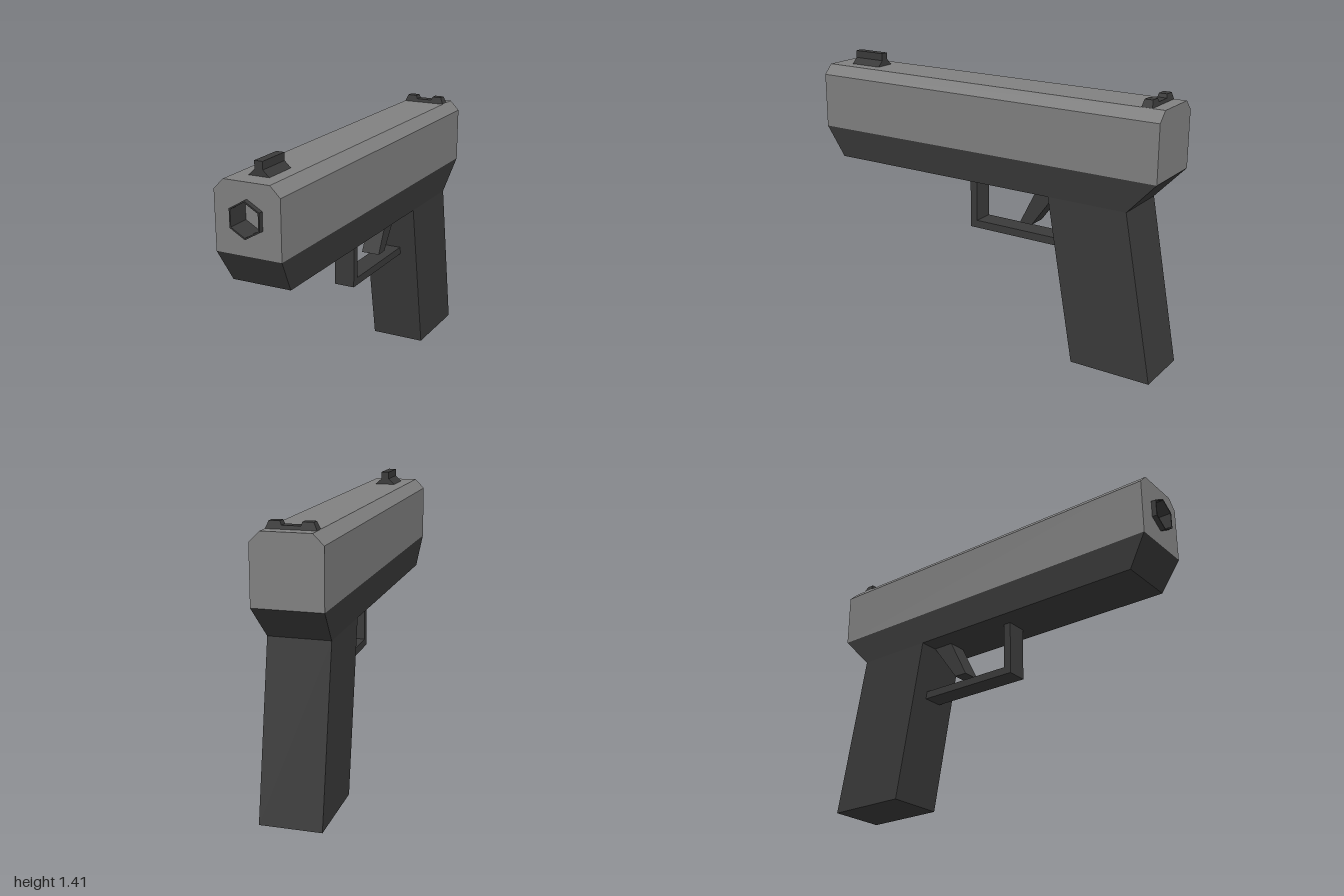
import * as THREE from 'three';

const mat = (color, side = THREE.FrontSide) => new THREE.MeshStandardMaterial({ color, side, flatShading: true });
const grey = mat(0x808080);
const dark = mat(0x3a3a3a);

const toShape = (pts) => new THREE.Shape(pts.map(([a, b]) => new THREE.Vector2(a, b)));
// Mirrors a right-hand outline (bottom to top) to a closed symmetric one
const mirrored = (half) => toShape([...half, ...half.slice().reverse().map(([x, y]) => [-x, y])]);
const hexagon = (r, y) => Array.from({ length: 6 }, (_, i) => {
  const a = Math.PI / 2 + (i * Math.PI) / 3;
  return [r * Math.cos(a), y + r * Math.sin(a)];
});

// Front outline (x, y) extruded from z0 to z1
function alongZ(shape, z0, z1) {
  return new THREE.ExtrudeGeometry(shape, { depth: z1 - z0, bevelEnabled: false }).translate(0, 0, z0);
}
// Side outline (z, y) extruded to the given width, centred on x = 0
function acrossX(pts, width) {
  return new THREE.ExtrudeGeometry(toShape(pts), { depth: width, bevelEnabled: false })
    .translate(0, 0, -width / 2).rotateY(-Math.PI / 2);
}

export function createModel() {
  const group = new THREE.Group();
  const add = (name, geometry, material) => {
    const mesh = new THREE.Mesh(geometry, material);
    mesh.name = name;
    group.add(mesh);
  };

  // Chamfered upper body, with a shallow hexagonal bore in its front section
  const bodyHalf = [[0.167, 1.005], [0.167, 1.29], [0.117, 1.34]];
  const boreY = 1.177, boreEnd = 0.88;
  add('upperBody', alongZ(mirrored(bodyHalf), -0.993, boreEnd), grey);
  const frontShape = mirrored(bodyHalf);
  frontShape.holes.push(toShape(hexagon(0.084, boreY)));
  add('upperBodyFront', alongZ(frontShape, boreEnd, 0.975), grey);

  // Thin hexagonal barrel sleeve
  const barrel = toShape(hexagon(0.088, boreY));
  barrel.holes.push(toShape(hexagon(0.08, boreY)));
  add('barrel', alongZ(barrel, boreEnd + 0.002, 1), dark);

  // Lower frame tapering towards its underside
  const frame = new THREE.BoxGeometry(1, 1, 1);
  const p = frame.attributes.position;
  for (let i = 0; i < p.count; i++) {
    const top = p.getY(i) > 0, front = p.getZ(i) > 0;
    const z = front ? (top ? 0.975 : 0.88) : (top ? -0.993 : -0.84);
    p.setXYZ(i, Math.sign(p.getX(i)) * (top ? 0.167 : 0.15), top ? 1.005 : 0.843, z);
  }
  frame.computeVertexNormals();
  add('frame', frame, dark);

  // Raked grip
  add('grip', acrossX([[-0.57, 0], [-0.42, 0.843], [-0.84, 0.843], [-0.997, 0]], 0.3), dark);

  // Angled guard bar and trigger
  add('triggerGuard', acrossX([[0.1, 0.845], [0.06, 0.845], [0.06, 0.6], [-0.48, 0.6],
    [-0.48, 0.56], [0.1, 0.56]], 0.11), dark);
  add('trigger', acrossX([[-0.2, 0.64], [-0.27, 0.64], [-0.42, 0.845], [-0.305, 0.845]], 0.1), dark);

  // Front sight: flared base with a central post
  add('frontSight', alongZ(mirrored([[0.055, 1.338], [0.021, 1.37], [0.021, 1.408]]), 0.695, 0.875), dark);

  // Rear sight: notched bar, slightly narrower at the top
  const rear = alongZ(mirrored([[0.117, 1.338], [0.1, 1.375], [0.05, 1.375], [0.043, 1.357]]), -0.93, -0.875);
  const r = rear.attributes.position;
  for (let i = 0; i < r.count; i++) {
    const t = (r.getY(i) - 1.338) / 0.037;
    r.setZ(i, -0.9025 + (r.getZ(i) + 0.9025) * (1 - 0.25 * t));
  }
  rear.computeVertexNormals();
  add('rearSight', rear, dark);

  return group;
}
